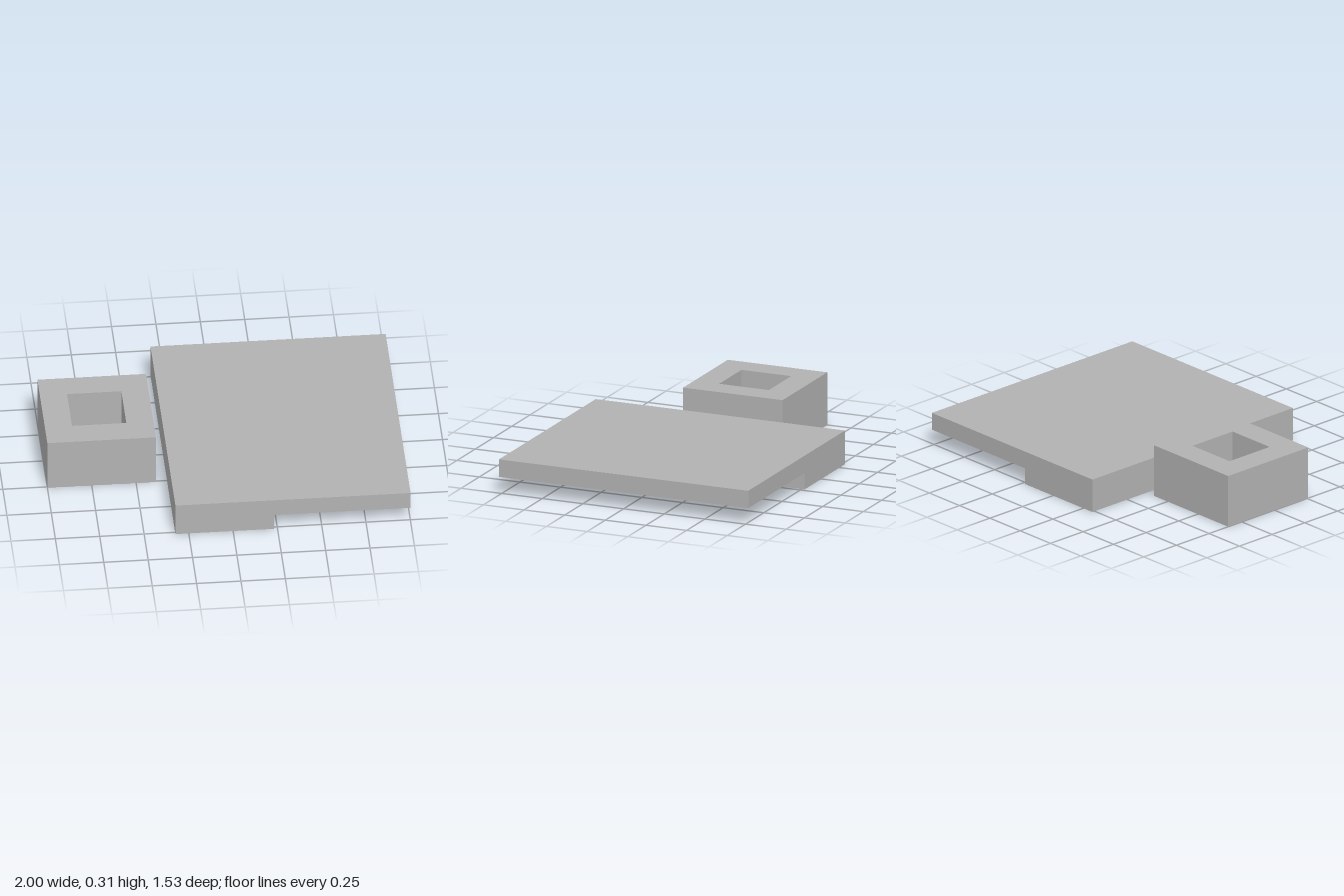
import * as THREE from 'three';

const rectangle = (x0, x1, y0, y1) =>
  [[x0, y0], [x1, y0], [x1, y1], [x0, y1]].map(([x, y]) => new THREE.Vector2(x, y));

const extrude = (shape, depth) =>
  new THREE.ExtrudeGeometry(shape, { depth, bevelEnabled: false });

export function createModel() {
  const group = new THREE.Group();
  const grey = new THREE.MeshStandardMaterial({ color: 0xb2b2b2 });
  grey.name = 'plain grey';

  const add = (name, geometry) => {
    const mesh = new THREE.Mesh(geometry, grey);
    mesh.name = name;
    group.add(mesh);
  };

  // Stepped plate: an L-shaped side profile run from back to front
  const halfDepth = 0.767;
  const profile = [[-0.325, 0], [0.23, 0], [0.23, 0.095], [1, 0.095], [1, 0.197], [-0.325, 0.197]];
  const plateShape = new THREE.Shape(profile.map(([x, y]) => new THREE.Vector2(x, y)));
  add('steppedPlate', extrude(plateShape, 2 * halfDepth).translate(0, 0, -halfDepth));

  // Square block with a square hole straight through, drawn in plan (shape y is -z)
  const blockShape = new THREE.Shape(rectangle(-1, -0.388, -0.258, 0.354));
  blockShape.holes.push(new THREE.Path(rectangle(-0.847, -0.541, -0.105, 0.201)));
  add('hollowBlock', extrude(blockShape, 0.308).rotateX(-Math.PI / 2));

  return group;
}
